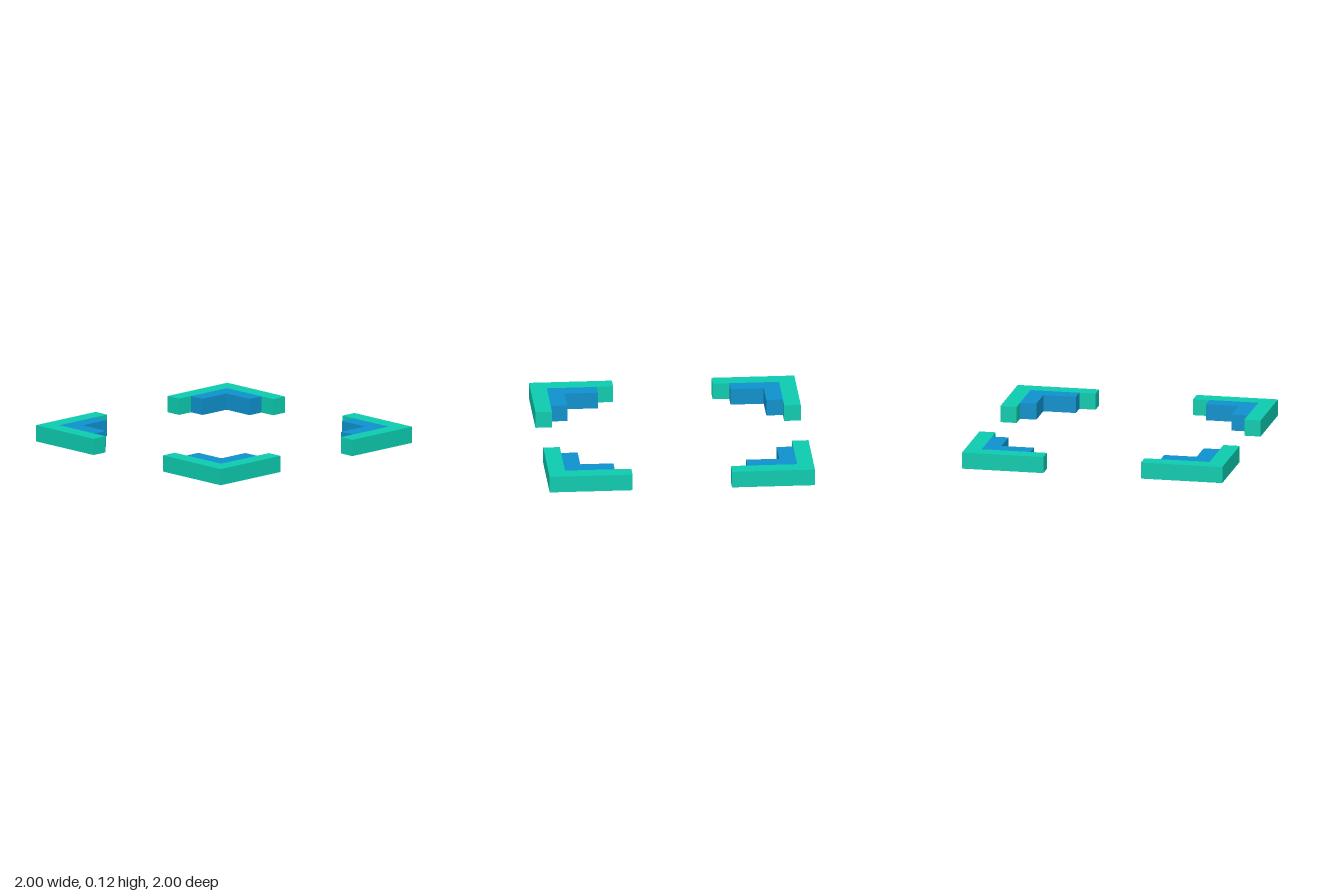
import * as THREE from 'three';

const HEIGHT = 0.125;

// L-shaped bracket lying flat: outer corner at (outer, outer), arms reaching in to `end`
function bracket(outer, inner, end, material, name) {
  const shape = new THREE.Shape([
    [outer, outer], [end, outer], [end, inner],
    [inner, inner], [inner, end], [outer, end],
  ].map(([x, y]) => new THREE.Vector2(x, y)));
  const geometry = new THREE.ExtrudeGeometry(shape, { depth: HEIGHT, bevelEnabled: false });
  geometry.rotateX(-Math.PI / 2);
  const mesh = new THREE.Mesh(geometry, material);
  mesh.name = name;
  return mesh;
}

export function createModel() {
  const green = new THREE.MeshStandardMaterial({ color: 0x0dcbaf });
  green.name = 'turquoise';
  const blue = new THREE.MeshStandardMaterial({ color: 0x0e91cd });
  blue.name = 'blue';

  const model = new THREE.Group();
  model.name = 'cornerFrame';

  // One corner, turned to all four places
  for (let i = 0; i < 4; i++) {
    const corner = new THREE.Group();
    corner.name = ['backLeftCorner', 'backRightCorner', 'frontRightCorner', 'frontLeftCorner'][i];
    corner.add(
      bracket(1, 0.875, 0.375, green, 'outerBracket'),
      bracket(0.875, 0.75, 0.5, blue, 'innerBracket'),
    );
    corner.rotation.y = i * Math.PI / 2;
    model.add(corner);
  }
  return model;
}
